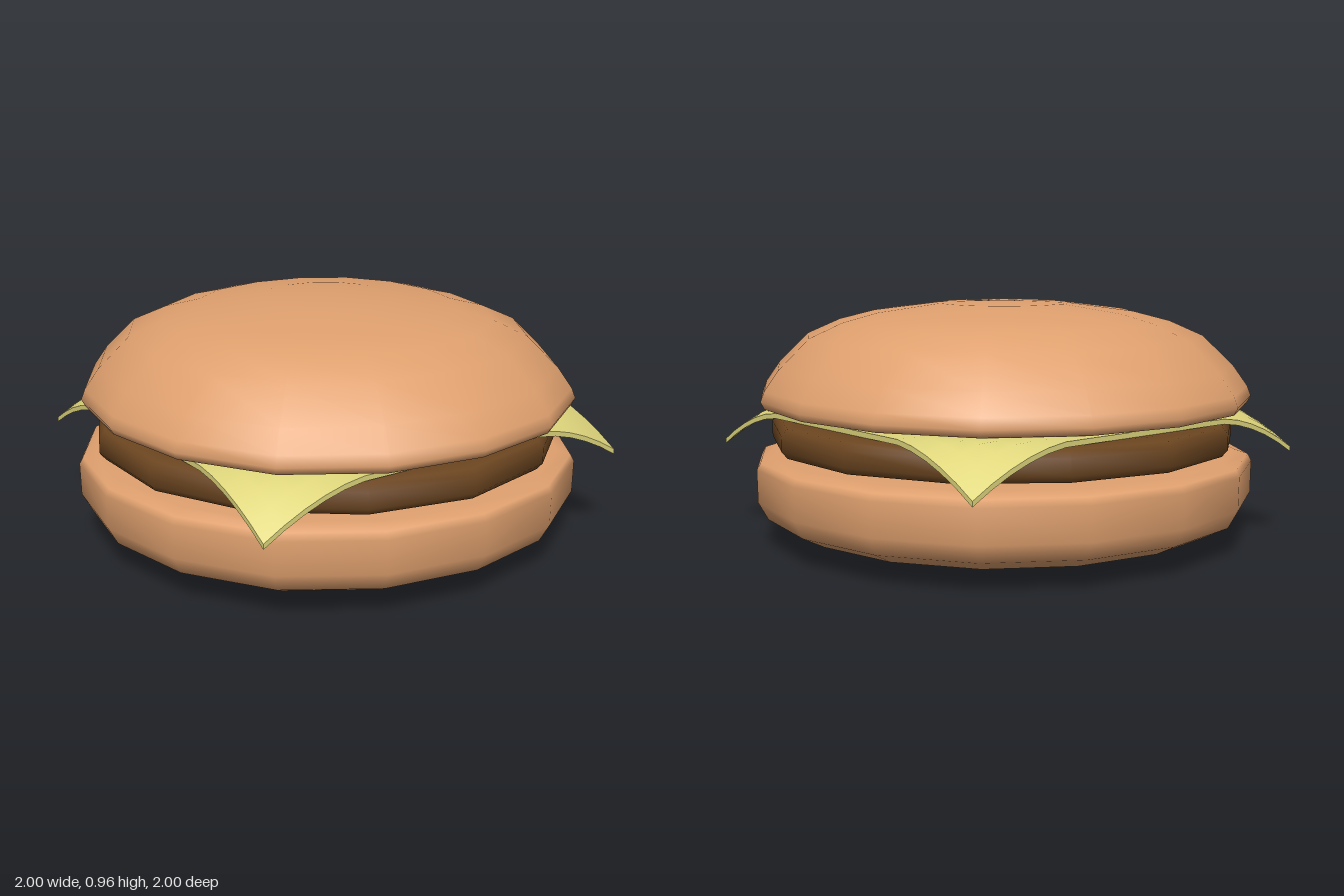
import * as THREE from 'three';
import { mergeVertices } from 'three/addons/utils/BufferGeometryUtils.js';

const bunMat = new THREE.MeshStandardMaterial({ color: 0xdfa06e });
bunMat.name = 'toasted bun';
const pattyMat = new THREE.MeshStandardMaterial({ color: 0x6b4520 });
pattyMat.name = 'grilled meat';
const cheeseMat = new THREE.MeshStandardMaterial({ color: 0xdfd67c });
cheeseMat.name = 'cheese yellow';

// Smooth turned shape; swell(angle) gives [x, z] factors for a slightly uneven outline
function turned(name, profile, sides, material, swell = () => [1, 1]) {
  let geo = new THREE.LatheGeometry(profile.map(([r, y]) => new THREE.Vector2(r, y)), sides);
  const pos = geo.attributes.position;
  for (let i = 0; i < pos.count; i++) {
    const [sx, sz] = swell(Math.atan2(pos.getX(i), pos.getZ(i)));
    pos.setX(i, pos.getX(i) * sx);
    pos.setZ(i, pos.getZ(i) * sz);
  }
  geo.deleteAttribute('uv');
  geo.deleteAttribute('normal');
  geo = mergeVertices(geo, 1e-4);
  geo.computeVertexNormals();
  const mesh = new THREE.Mesh(geo, material);
  mesh.name = name;
  return mesh;
}

// Thin square slice whose corners droop past the patty
function cheeseSlice() {
  const geo = new THREE.BoxGeometry(1.65, 0.02, 1.65, 20, 1, 20);
  const pos = geo.attributes.position;
  for (let i = 0; i < pos.count; i++) {
    const r = Math.hypot(pos.getX(i), pos.getZ(i));
    const t = Math.max(0, (r - 0.92) / 0.247);
    pos.setY(i, pos.getY(i) + 0.52 - 0.152 * t ** 1.4);
  }
  geo.computeVertexNormals();
  const mesh = new THREE.Mesh(geo, cheeseMat);
  mesh.name = 'cheeseSlice';
  return mesh;
}

export function createModel() {
  const group = new THREE.Group();
  group.name = 'cheeseburger';

  const bottomProfile = [
    [0, 0.004], [0.38, 0.012], [0.67, 0.036], [0.87, 0.075], [0.96, 0.12], [0.998, 0.19],
    [1, 0.32], [0.985, 0.347], [0.93, 0.365], [0.7, 0.372], [0, 0.374],
  ];
  const topProfile = [
    [0, 0.525], [0.6, 0.528], [0.87, 0.541], [0.955, 0.556], [0.97, 0.585], [0.955, 0.625],
    [0.9, 0.705], [0.78, 0.826], [0.65, 0.885], [0.51, 0.922], [0.26, 0.955], [0, 0.964],
  ];
  const pattyProfile = [
    [0, 0.376], [0.86, 0.376], [0.92, 0.385], [0.943, 0.412],
    [0.943, 0.473], [0.92, 0.5], [0.86, 0.51], [0, 0.51],
  ];

  // Buns bulge a little between the main axes
  const bulge = (a) => Math.sin(2 * a) ** 2;
  group.add(
    turned('bottomBun', bottomProfile, 16, bunMat, (a) => {
      const s = 1 + 0.012 * bulge(a);
      return [s, s];
    }),
    turned('patty', pattyProfile, 14, pattyMat),
    cheeseSlice(),
    turned('topBun', topProfile, 16, bunMat, (a) => {
      const s = 1 + 0.026 * bulge(a);
      return [s, s * 1.015];
    }),
  );
  return group;
}
